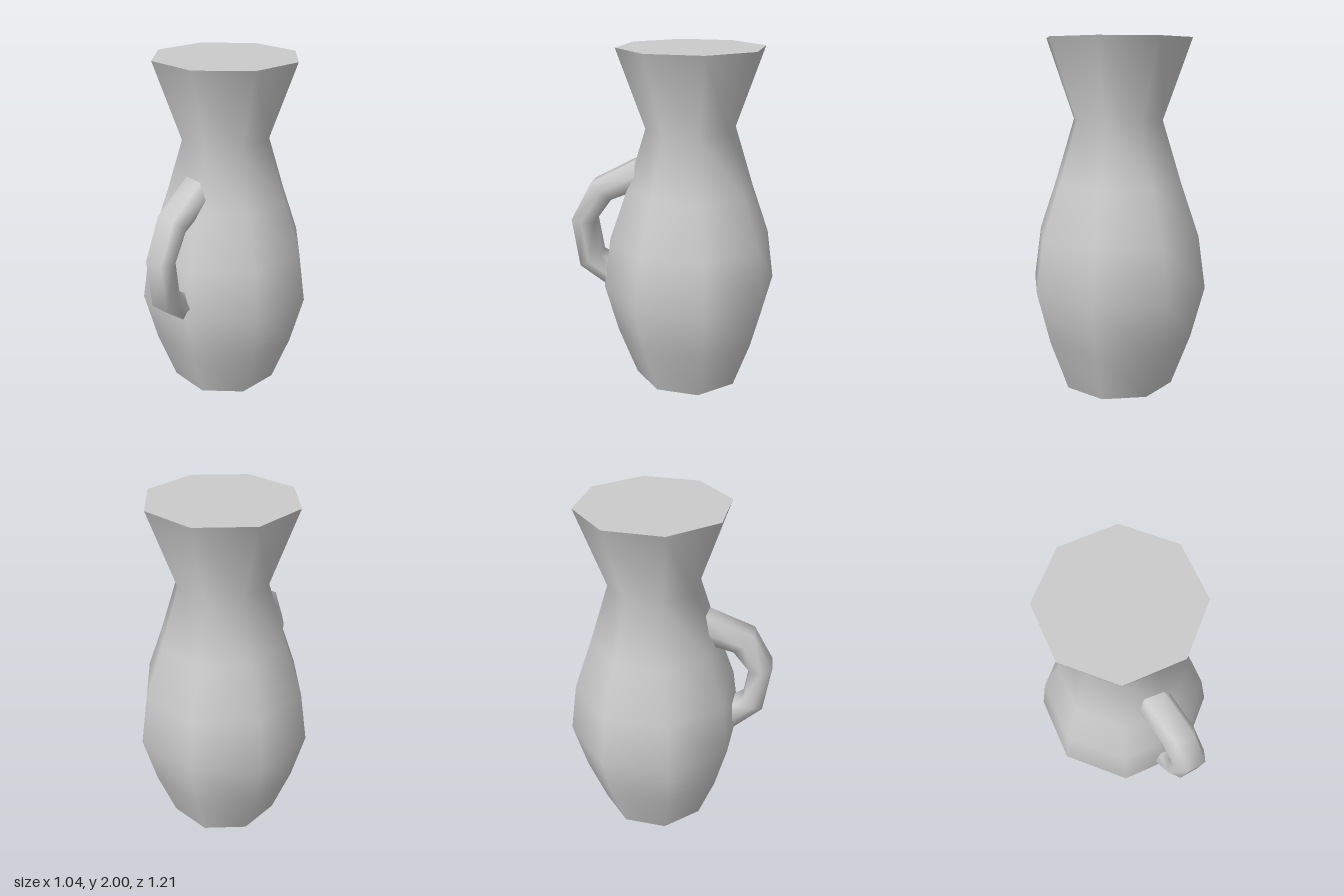
import * as THREE from 'three';

const material = new THREE.MeshStandardMaterial({ color: 0xcccccc });
const SIDES = 8;
const BODY_Z = -0.09;

// Closed disc facing up or down
function cap(name, radius, y, up) {
  const mesh = new THREE.Mesh(new THREE.CircleGeometry(radius, SIDES), material);
  mesh.name = name;
  mesh.rotation.x = up ? -Math.PI / 2 : Math.PI / 2;
  mesh.position.set(0, y, BODY_Z);
  return mesh;
}

// Six-sided loop handle lofted through outer and inner [z, y] points
function handleGeometry() {
  const rings = [
    [[0.17, 1.385], [0.23, 1.18]],
    [[0.47, 1.235], [0.36, 1.13]],
    [[0.59, 1.01], [0.46, 0.99]],
    [[0.55, 0.72], [0.43, 0.79]],
    [[0.38, 0.585], [0.36, 0.75]],
  ];
  // [sideways offset, share of the way from outer to inner]
  const section = [[-0.055, 0], [0.055, 0], [0.095, 0.5], [0.055, 1], [-0.055, 1], [-0.095, 0.5]];
  const n = section.length;
  const positions = [], index = [];
  rings.forEach(([outer, inner], i) => {
    section.forEach(([dx, s], j) => {
      const z = THREE.MathUtils.lerp(outer[0], inner[0], s);
      const y = THREE.MathUtils.lerp(outer[1], inner[1], s);
      positions.push(-0.035 - 0.12 * z + dx, y, z + 0.3 * dx);
      if (i < rings.length - 1) {
        const a = i * n + j, b = i * n + (j + 1) % n;
        index.push(a, a + n, b, b, a + n, b + n);
      }
    });
  });
  const geometry = new THREE.BufferGeometry();
  geometry.setAttribute('position', new THREE.Float32BufferAttribute(positions, 3));
  geometry.setIndex(index);
  geometry.computeVertexNormals();
  return geometry;
}

export function createModel() {
  const model = new THREE.Group();
  model.name = 'jug';

  // Eight-sided body with a narrow neck and flared mouth
  const profile = [
    [0.33, 0], [0.44, 0.3], [0.518, 0.6], [0.475, 0.9],
    [0.37, 1.2], [0.26, 1.55], [0.42, 2],
  ].map(([r, y]) => new THREE.Vector2(r, y));
  const body = new THREE.Mesh(new THREE.LatheGeometry(profile, SIDES), material);
  body.name = 'body';
  body.position.z = BODY_Z;

  const handle = new THREE.Mesh(handleGeometry(), material);
  handle.name = 'handle';

  model.add(body, cap('top', 0.42, 2, true), cap('base', 0.33, 0, false), handle);
  return model;
}
